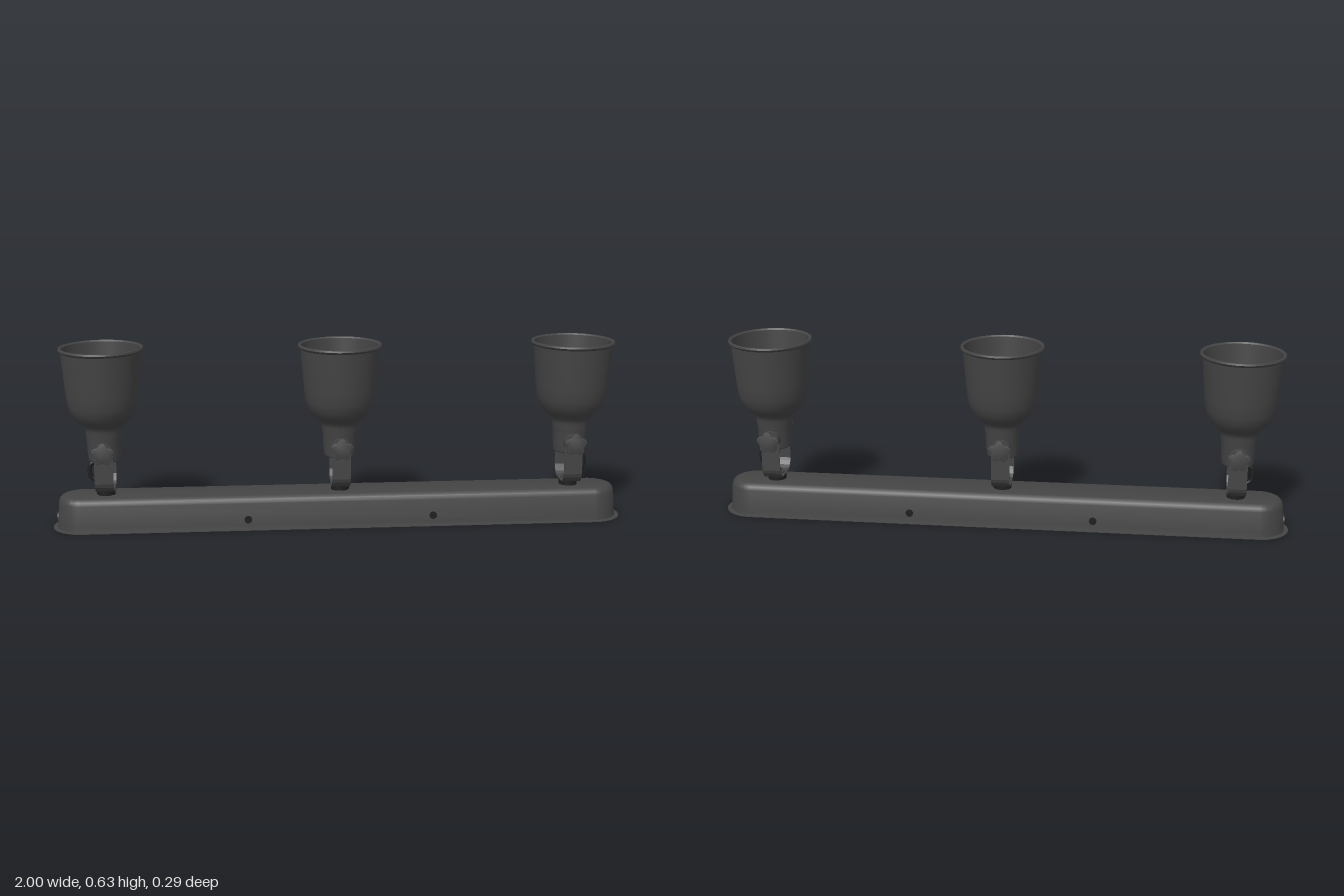
import * as THREE from 'three';
import { toCreasedNormals } from 'three/addons/utils/BufferGeometryUtils.js';

const mat = (name, color) => {
  const m = new THREE.MeshStandardMaterial({ color });
  m.name = name;
  return m;
};

export function createModel() {
  const charcoal = mat('charcoal metal', 0x444444);
  const black = mat('black rubber', 0x1e1e1e);
  const steel = mat('grey steel', 0x707070);
  const pale = mat('pale steel', 0xa8a8a8);
  const glass = mat('bulb glass', 0xb4b2a4);

  const root = new THREE.Group();
  root.name = 'tripleSpotlight';

  const add = (parent, name, geo, material, x = 0, y = 0, z = 0) => {
    const m = new THREE.Mesh(geo, material);
    m.name = name;
    m.position.set(x, y, z);
    parent.add(m);
    return m;
  };
  const turned = (pts, segs = 48, start = 0) =>
    new THREE.LatheGeometry(pts.map(p => new THREE.Vector2(p[0], p[1])), segs, start);
  const smooth = geo => toCreasedNormals(geo, 0.6);
  const zCylinder = (r, len, segs = 32) =>
    new THREE.CylinderGeometry(r, r, len, segs).rotateX(Math.PI / 2);
  const cable = (pts, r) => new THREE.TubeGeometry(
    new THREE.CatmullRomCurve3(pts.map(p => new THREE.Vector3(...p))), 40, r, 10);

  // Hollow base: a turned profile pulled apart along x into a long stadium
  const segs = 64, half = 0.895;
  const base = turned([
    [0, 0.11], [0.062, 0.11], [0.073, 0.106], [0.079, 0.095], [0.086, 0.003], [0.087, 0],
    [0.106, 0], [0.106, 0.002], [0.091, 0.003], [0.089, 0.02], [0.084, 0.092],
    [0.08, 0.104], [0.073, 0.112], [0.063, 0.115], [0, 0.115],
  ], segs, Math.PI / segs);
  const pos = base.attributes.position;
  for (let i = 0; i < pos.count; i++) {
    const x = pos.getX(i);
    if (Math.abs(x) > 1e-6) pos.setX(i, x + Math.sign(x) * half);
  }
  add(root, 'base', smooth(base), charcoal);

  // Side screws
  for (const x of [-0.325, 0.32]) for (const s of [-1, 1]) {
    add(root, 'sideScrew', zCylinder(0.013, 0.006, 20), black, x, 0.035, s * 0.088);
    add(root, 'screwTip', zCylinder(0.006, 0.016, 12), black, x, 0.035, s * 0.083);
  }

  // Cable grommet in the right-hand end
  const grommet = new THREE.Group();
  grommet.name = 'cableGrommet';
  grommet.position.set(-0.981, 0.035, 0);
  add(grommet, 'grommetRing', new THREE.TorusGeometry(0.015, 0.005, 10, 28).rotateY(Math.PI / 2), charcoal);
  add(grommet, 'grommetPlug', new THREE.CylinderGeometry(0.015, 0.015, 0.012, 24).rotateZ(Math.PI / 2), black);
  root.add(grommet);

  // Mounting plate inside the base, with slots
  const plate = new THREE.Shape();
  plate.moveTo(-0.35, -0.083).lineTo(0.35, -0.083).lineTo(0.35, 0.083).lineTo(-0.35, 0.083).closePath();
  for (const x of [-0.25, 0.25]) {
    const slot = new THREE.Path();
    slot.absarc(x + 0.03, 0.035, 0.01, -Math.PI / 2, Math.PI / 2, false);
    slot.absarc(x - 0.03, 0.035, 0.01, Math.PI / 2, Math.PI * 1.5, false);
    slot.closePath();
    plate.holes.push(slot);
  }
  add(root, 'mountingPlate',
    new THREE.ExtrudeGeometry(plate, { depth: 0.004, bevelEnabled: false }).rotateX(Math.PI / 2),
    steel, 0, 0.014, 0);
  add(root, 'plateRail', new THREE.BoxGeometry(0.56, 0.004, 0.03), pale, 0, 0.008, -0.025);
  add(root, 'terminalBlock', new THREE.BoxGeometry(0.2, 0.012, 0.035), black, 0, 0.008, 0.025);

  // Wiring inside the base
  for (const s of [-1, 1])
    add(root, 'innerCable', cable([[s * 0.3, 0.02, -0.02], [s * 0.45, 0.03, -0.035],
      [s * 0.65, 0.035, -0.03], [s * 0.8, 0.06, -0.01], [s * 0.815, 0.112, 0]], 0.007), black);

  // Shared lamp geometries
  const shade = smooth(turned([
    [0, 0.237], [0.05, 0.237], [0.055, 0.241], [0.058, 0.27], [0.06, 0.318], [0.063, 0.332],
    [0.063, 0.346], [0.068, 0.359], [0.08, 0.37], [0.095, 0.384], [0.11, 0.406], [0.12, 0.435],
    [0.125, 0.48], [0.131, 0.55], [0.137, 0.618], [0.142, 0.621], [0.145, 0.626], [0.143, 0.632],
    [0.138, 0.633], [0.133, 0.628], [0.127, 0.55], [0.121, 0.48], [0.116, 0.437], [0.106, 0.409],
    [0.091, 0.388], [0.076, 0.374], [0.06, 0.366], [0, 0.366],
  ], 64));
  const bulb = smooth(turned([
    [0.028, 0.366], [0.03, 0.395], [0.044, 0.42], [0.055, 0.445], [0.057, 0.452],
    [0.053, 0.455], [0.05, 0.45], [0, 0.45],
  ], 40));

  const arm = [[0.074, 0.28], [0.074, 0.168], [0.069, 0.155], [0.059, 0.143], [0.047, 0.135], [0.035, 0.133]];
  const armIn = arm.map(([z, y]) => [z - 0.0035, y + (y < 0.16 ? 0.003 : 0)]);
  const flip = list => list.map(([z, y]) => [-z, y]).reverse();
  const outline = [...arm, ...flip(arm), ...flip(armIn).reverse(), ...[...armIn].reverse()];
  const yoke = new THREE.ExtrudeGeometry(
    new THREE.Shape(outline.map(p => new THREE.Vector2(...p))), { depth: 0.064, bevelEnabled: false })
    .translate(0, 0, -0.032).rotateY(-Math.PI / 2);

  const star = [];
  for (let i = 0; i < 60; i++) {
    const a = i / 60 * Math.PI * 2, r = 0.033 + 0.005 * Math.cos(5 * (a - Math.PI / 2));
    star.push(new THREE.Vector2(r * Math.cos(a), r * Math.sin(a)));
  }
  const knob = smooth(new THREE.ExtrudeGeometry(new THREE.Shape(star), {
    depth: 0.009, bevelEnabled: true, bevelSize: 0.002, bevelThickness: 0.002, bevelSegments: 2,
  }).translate(0, 0, -0.0045));

  // Three lamps; each cord loops in its own direction
  for (const [x, dx, dz] of [[-0.815, -1, 0], [0, 0, -1], [0.815, 1, 0]]) {
    const lamp = new THREE.Group();
    lamp.name = 'lamp';
    lamp.position.x = x;
    root.add(lamp);

    add(lamp, 'shade', shade, charcoal);
    add(lamp, 'bulb', bulb, glass);
    // Lens ring and cells on the bulb face
    add(lamp, 'lensRing', new THREE.TorusGeometry(0.045, 0.003, 8, 36).rotateX(Math.PI / 2), steel, 0, 0.451, 0);
    for (let ring = 1; ring <= 2; ring++) for (let i = 0; i < ring * 6; i++) {
      const a = i / (ring * 6) * Math.PI * 2;
      add(lamp, 'lensCell', new THREE.CylinderGeometry(0.004, 0.005, 0.003, 8), steel,
        Math.cos(a) * ring * 0.017, 0.4515, Math.sin(a) * ring * 0.017);
    }

    // Swivel mount
    add(lamp, 'swivelMount', new THREE.CylinderGeometry(0.032, 0.032, 0.019, 32), black, 0, 0.1235, 0);
    add(lamp, 'swivelWasher', new THREE.CylinderGeometry(0.025, 0.025, 0.006, 32), charcoal, 0, 0.139, 0);
    add(lamp, 'swivelNut', new THREE.CylinderGeometry(0.02, 0.02, 0.007, 6), charcoal, 0, 0.1455, 0);
    add(lamp, 'cordBush', new THREE.CylinderGeometry(0.012, 0.014, 0.008, 24), black, 0, 0.152, 0);
    add(lamp, 'yoke', yoke, charcoal);

    // Pivots and star knobs
    for (const s of [-1, 1]) {
      add(lamp, 'pivotBoss', zCylinder(0.033, 0.03), charcoal, 0, 0.278, s * 0.055);
      add(lamp, 'yokeEye', zCylinder(0.032, 0.0035), charcoal, 0, 0.28, s * 0.07225);
      add(lamp, 'knobHub', zCylinder(0.017, 0.02), charcoal, 0, 0.28, s * 0.083);
      add(lamp, 'knob', knob, charcoal, 0, 0.28, s * 0.0985);
    }

    const loop = [[0, 0.15], [0.008, 0.163], [0.035, 0.166], [0.05, 0.178], [0.054, 0.2],
      [0.05, 0.22], [0.035, 0.23], [0.012, 0.233], [0, 0.242]];
    add(lamp, 'cord', cable(loop.map(([r, y]) => [dx * r, y, dz * r]), 0.0075), black);
  }

  return root;
}
